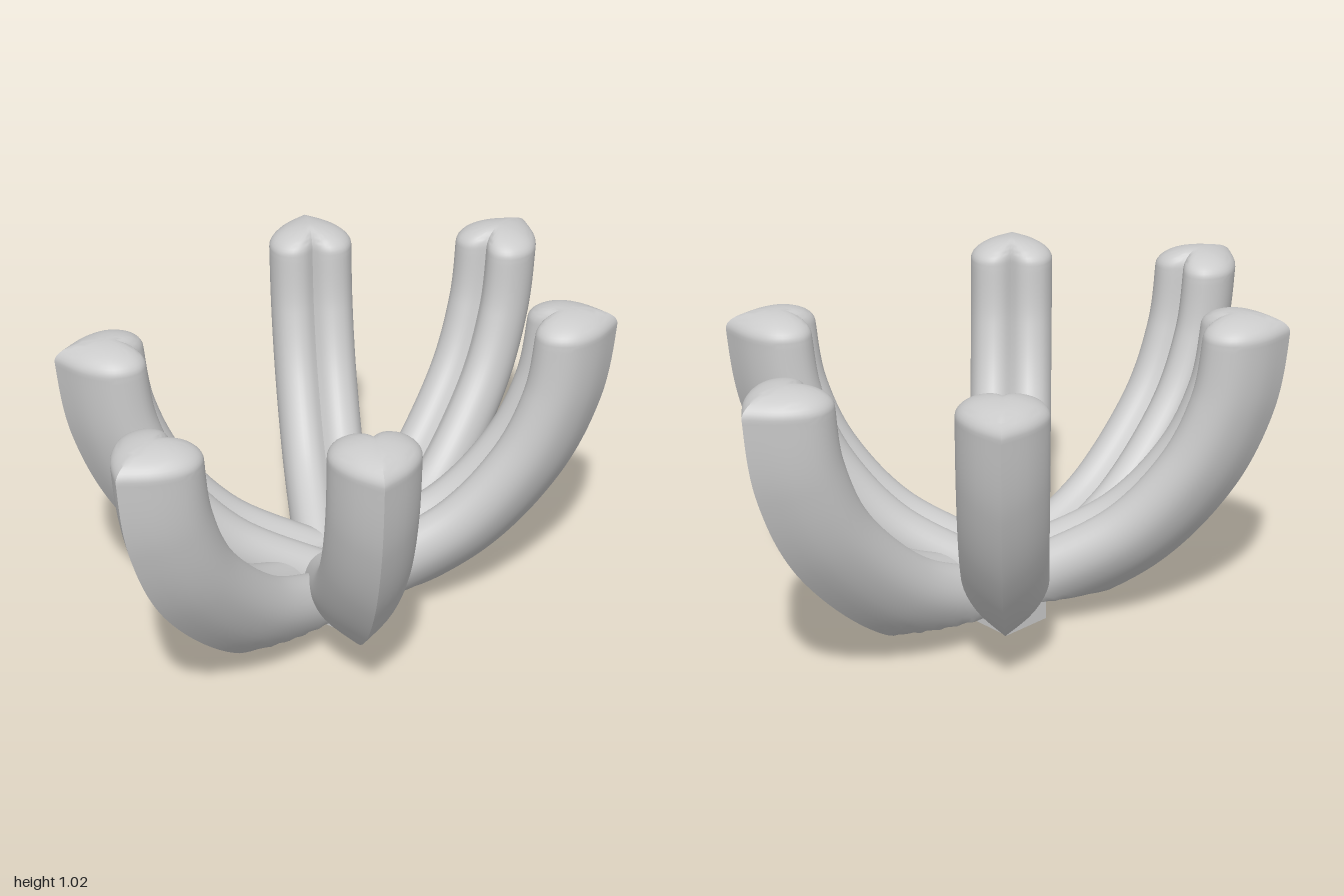
import * as THREE from 'three';
import { toCreasedNormals } from 'three/addons/utils/BufferGeometryUtils.js';

const V2 = (p) => new THREE.Vector2(p[0], p[1]);

// Heart cross-section: x = sideways, y = depth from the inner lobes to the outer ridge
function heartSection() {
  const half = new THREE.SplineCurve([
    [0, 0.035], [0.028, 0.008], [0.065, 0], [0.107, 0.021],
    [0.13, 0.072], [0.122, 0.13], [0.077, 0.198], [0, 0.262],
  ].map(V2)).getPoints(24);
  const mirrored = half.slice(1, -1).reverse().map((p) => new THREE.Vector2(-p.x, p.y));
  return [...half, ...mirrored];
}

// Sweeps the heart along a path of (radius, height), trims it underneath and domes the top
function armGeometry(path, floorAt) {
  const section = heartSection();
  const n = section.length;
  const curve = new THREE.SplineCurve(path.map(V2));
  const positions = [];
  const index = [];
  const steps = 64;
  let rings = 0;

  const addRing = (place) => {
    section.forEach((s) => positions.push(...place(s)));
    rings++;
  };

  for (let i = 0; i <= steps; i++) {
    const t = i / steps;
    const p = curve.getPoint(t);
    const tan = curve.getTangent(t);
    // upright section at the hub, level section at the tip
    tan.y *= Math.min(1, t / 0.15);
    tan.x *= Math.min(1, (1 - t) / 0.1);
    tan.normalize();
    addRing((s) => {
      const r = p.x + tan.y * s.y;
      const y = p.y - tan.x * s.y;
      return [s.x, Math.max(y, floorAt(r)), r];
    });
  }

  // domed tip
  const [endR, endY] = path[path.length - 1];
  const middle = 0.11;
  for (let i = 1; i <= 12; i++) {
    const a = (i / 12) * Math.PI / 2;
    const k = i === 12 ? 0 : Math.cos(a);
    addRing((s) => [s.x * k, endY + 0.062 * Math.sin(a), endR + middle + (s.y - middle) * k]);
  }

  for (let i = 0; i < rings - 1; i++) {
    for (let j = 0; j < n; j++) {
      const a = i * n + j;
      const b = i * n + (j + 1) % n;
      index.push(a, a + n, b, b, a + n, b + n);
    }
  }
  const geometry = new THREE.BufferGeometry();
  geometry.setAttribute('position', new THREE.Float32BufferAttribute(positions, 3));
  geometry.setIndex(index);
  return toCreasedNormals(geometry, 0.7);
}

export function createModel() {
  const group = new THREE.Group();
  const material = new THREE.MeshStandardMaterial({ color: 0xcccccc, side: THREE.DoubleSide });

  // long arms to front and back
  const longArm = armGeometry(
    [[0, 0.2], [0.15, 0.25], [0.395, 0.365], [0.61, 0.575], [0.71, 0.78], [0.738, 0.96]],
    () => 0.108,
  );
  // steeper arms on the diagonals
  const diagonalArm = armGeometry(
    [[0, 0.25], [0.065, 0.27], [0.3, 0.399], [0.464, 0.585], [0.55, 0.78], [0.577, 0.96]],
    (r) => 0.107 - 0.012 * Math.min(1, (r / 0.33) ** 2),
  );

  const addArm = (name, geometry, angle) => {
    const arm = new THREE.Mesh(geometry, material);
    arm.name = name;
    arm.rotation.y = angle;
    group.add(arm);
  };
  addArm('frontArm', longArm, 0);
  addArm('backArm', longArm, Math.PI);
  ['frontLeftArm', 'backLeftArm', 'backRightArm', 'frontRightArm'].forEach((name, i) => {
    addArm(name, diagonalArm, Math.PI / 4 + i * Math.PI / 2);
  });

  // square peg under the hub
  const peg = new THREE.Mesh(new THREE.BoxGeometry(0.17, 0.14, 0.17), material);
  peg.name = 'basePeg';
  peg.position.y = 0.07;
  group.add(peg);

  return group;
}
